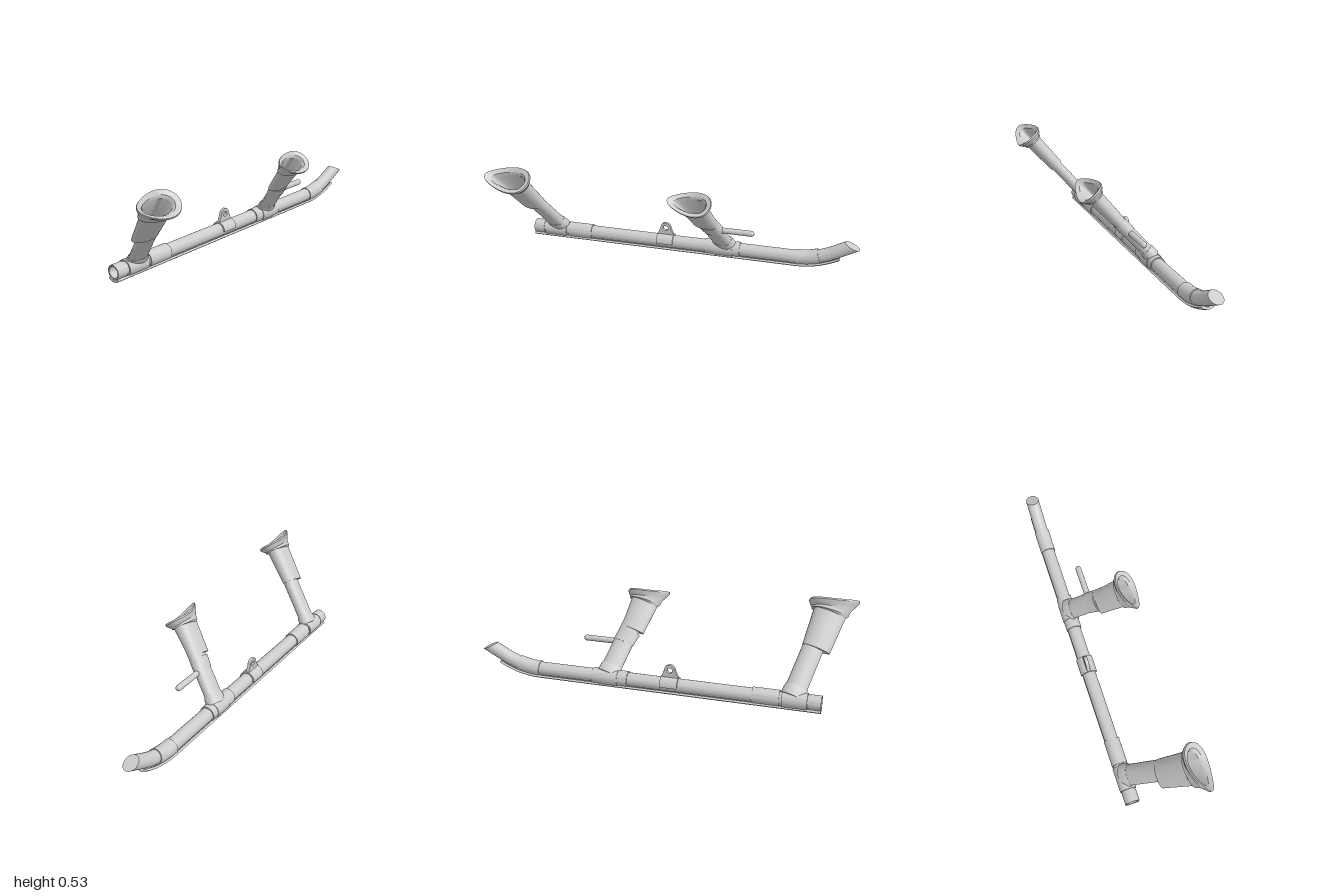
import * as THREE from 'three';
import { toCreasedNormals } from 'three/addons/utils/BufferGeometryUtils.js';

const mat = new THREE.MeshStandardMaterial({ color: 0xcccccc, side: THREE.DoubleSide });
const SKID_Z = -0.174;
const V = (x, y, z) => new THREE.Vector3(x, y, z);

function add(parent, name, geometry) {
  const mesh = new THREE.Mesh(geometry, mat);
  mesh.name = name;
  parent.add(mesh);
  return mesh;
}

// Skin a list of closed rings, with optional end caps
function loft(rings, capStart = true, capEnd = true) {
  const n = rings[0].length, pos = [], index = [];
  rings.forEach(r => r.forEach(p => pos.push(p.x, p.y, p.z)));
  for (let i = 0; i < rings.length - 1; i++) {
    for (let j = 0; j < n; j++) {
      const k = (j + 1) % n, a = i * n, b = a + n;
      index.push(a + j, a + k, b + k, a + j, b + k, b + j);
    }
  }
  const cap = (row, flip) => {
    const mid = rings[row].reduce((s, p) => s.add(p), V(0, 0, 0)).divideScalar(n);
    const m = pos.length / 3;
    pos.push(mid.x, mid.y, mid.z);
    for (let j = 0; j < n; j++) {
      const a = row * n + j, b = row * n + (j + 1) % n;
      index.push(m, flip ? b : a, flip ? a : b);
    }
  };
  if (capStart) cap(0, true);
  if (capEnd) cap(rings.length - 1, false);
  const g = new THREE.BufferGeometry();
  g.setAttribute('position', new THREE.Float32BufferAttribute(pos, 3));
  g.setIndex(index);
  return toCreasedNormals(g, 0.6);
}

// Skid centre line: straight, then a parabola, then a straight rising nose
function centre(x) {
  const u = Math.min(Math.max(x - 0.66, 0), 0.21);
  const slope = 2 * 1.27 * u;
  return { y: 0.053 + 1.27 * u * u + Math.max(x - 0.87, 0) * slope, slope };
}

// Sweep a [normal, z] section along the centre line; endCut leans the last ring
function sweep(section, x0, x1, { endCut = 0, capStart = true } = {}) {
  const xs = [x0];
  for (let x = 0.66; x < x1 - 0.02; x += 0.021) if (x > x0 + 0.001) xs.push(x);
  xs.push(x1);
  const rings = xs.map((x, i) => {
    const { y, slope } = centre(x);
    const t = V(1, slope, 0).normalize(), n = V(-t.y, t.x, 0);
    const cut = i === xs.length - 1 ? endCut : 0;
    return section.map(([v, z]) =>
      V(x, y, SKID_Z + z).addScaledVector(n, v).addScaledVector(t, cut * v));
  });
  return loft(rings, capStart);
}

const circle = (r, n = 32) => Array.from({ length: n }, (_, i) => {
  const a = (i / n) * Math.PI * 2;
  return [r * Math.cos(a), r * Math.sin(a)];
});

// Curved band concentric with the tube, centred on angle mid
function band(r0, r1, mid, half, n = 14) {
  const arc = (r, i) => {
    const a = mid - half + (2 * half * i) / n;
    return [r * Math.cos(a), r * Math.sin(a)];
  };
  const out = [];
  for (let i = 0; i <= n; i++) out.push(arc(r1, i));
  for (let i = n; i >= 0; i--) out.push(arc(r0, i));
  return out;
}

// Streamlined strut with a wider sleeve and a flared hollow mounting flange
function strut(name, base, top, sleeveStart, k) {
  const group = new THREE.Group();
  group.name = name;
  const span = top.clone().sub(base), len = span.length();
  const a = span.clone().normalize();
  const c = V(1, 0, 0).addScaledVector(a, -a.x).normalize();
  const t = a.clone().cross(c);
  // Teardrop ring, blunt toward +x; lean and bow fit the rim to the hull
  const ring = (f, chord, thick, shift = 0, lean = 0, bow = 0) =>
    Array.from({ length: 40 }, (_, i) => {
      const q = (i / 40) * Math.PI * 2, u = (chord / 2) * Math.cos(q);
      const w = (thick / 2) * Math.sin(q) * (1 + 0.28 * Math.cos(q));
      return base.clone().addScaledVector(a, f * len - lean * u - bow * Math.sin(q) ** 2)
        .addScaledVector(c, u + shift).addScaledVector(t, w);
    });
  add(group, 'lowerStrut', loft([ring(0, 0.112, 0.064), ring(sleeveStart + 0.1, 0.112, 0.064)]));
  add(group, 'strutRootCollar', loft([
    ring(-0.02, 0.128, 0.078), ring(0.05, 0.126, 0.076), ring(0.085, 0.114, 0.066)]));
  add(group, 'upperSleeve', loft([
    ring(sleeveStart, 0.15 * k, 0.078 * k, -0.016),
    ring(0.9, 0.175 * k, 0.092 * k, -0.01)], true, false));
  add(group, 'mountFlange', loft([
    ring(0.87, 0.175 * k, 0.092 * k, -0.01),
    ring(0.88, 0.195 * k, 0.112 * k, -0.01, 0.1),
    ring(0.915, 0.2 * k, 0.114 * k, -0.01, 0.2),
    ring(0.96, 0.23 * k, 0.14 * k, -0.01, 0.28, 0.01),
    ring(0.995, 0.25 * k, 0.156 * k, -0.01, 0.3, 0.016),
    ring(1.012, 0.246 * k, 0.152 * k, -0.01, 0.3, 0.016),
    ring(0.985, 0.19 * k, 0.105 * k, -0.01, 0.28, 0.012),
    ring(0.93, 0.165 * k, 0.084 * k, -0.01, 0.15),
    ring(0.62, 0.14 * k, 0.068 * k, -0.014)], false, true));
  return { group, ring };
}

export function createModel() {
  const model = new THREE.Group();
  model.name = 'landingSkid';

  // Main tube with upswept, obliquely cut nose and open rear end
  add(model, 'skidTube', sweep(circle(0.037), -0.885, 0.957, { endCut: -0.72, capStart: false }));
  const bore = add(model, 'rearBore', new THREE.LatheGeometry(
    [[0.037, 0], [0.03, 0], [0.03, 0.09], [0, 0.09]].map(p => new THREE.Vector2(...p)), 32));
  bore.geometry = toCreasedNormals(bore.geometry, 0.6);
  bore.rotation.z = -Math.PI / 2;
  bore.position.set(-0.885, 0.053, SKID_Z);

  // Sleeves and tee fittings around the tube
  const sleeves = [
    ['rearCollar', -0.885, -0.825, 0.04], ['rearTee', -0.815, -0.685, 0.045],
    ['rearSleeve', -0.672, -0.53, 0.043], ['frontTee', 0.145, 0.345, 0.043],
    ['frontTeeBand', 0.2, 0.305, 0.046], ['noseSleeve', 0.655, 0.785, 0.042],
  ];
  for (const [name, x0, x1, r] of sleeves) {
    const isRear = name === 'rearCollar';
    const section = isRear ? circle(r) : circle(r);
    add(model, name, sweep(section, x0, x1, { capStart: !isRear }));
  }

  // Wear plate under the tube, following the bend
  add(model, 'wearPlate', sweep(band(0.041, 0.053, Math.PI, Math.PI / 4), -0.885, 0.872));

  // Struts
  const rear = strut('rearStrut', V(-0.74, 0.08, -0.17), V(-0.872, 0.485, 0.168), 0.49, 1);
  const front = strut('frontStrut', V(0.255, 0.08, -0.17), V(0.134, 0.447, 0.142), 0.53, 0.9);
  model.add(rear.group, front.group);

  // Boarding step on the front strut
  add(front.group, 'stepClamp', loft([
    front.ring(0.36, 0.118, 0.069), front.ring(0.5, 0.122, 0.072, -0.006)]));
  const step = add(front.group, 'stepPeg', new THREE.CapsuleGeometry(0.016, 0.2, 6, 20));
  step.rotation.z = Math.PI / 2;
  step.position.set(0.324, 0.217, -0.055);

  // Ground handling lug: saddle over the tube with an upright eye
  add(model, 'lugSaddle', sweep(band(0.036, 0.046, 0, Math.PI * 0.52, 20), -0.135, -0.04));
  const eye = new THREE.Shape();
  eye.moveTo(-0.045, 0.08);
  eye.lineTo(0.045, 0.08);
  eye.lineTo(0.043, 0.102);
  eye.lineTo(0.028, 0.137);
  eye.absarc(0, 0.137, 0.028, 0, Math.PI, false);
  eye.lineTo(-0.043, 0.102);
  eye.closePath();
  const hole = new THREE.Path();
  hole.absarc(0, 0.135, 0.016, 0, Math.PI * 2, true);
  eye.holes.push(hole);
  const lug = add(model, 'lugEye', new THREE.ExtrudeGeometry(eye, {
    depth: 0.014, bevelThickness: 0.003, bevelSize: 0.002, bevelSegments: 2, curveSegments: 20 }));
  lug.position.set(-0.0875, 0, SKID_Z - 0.007);

  return model;
}
